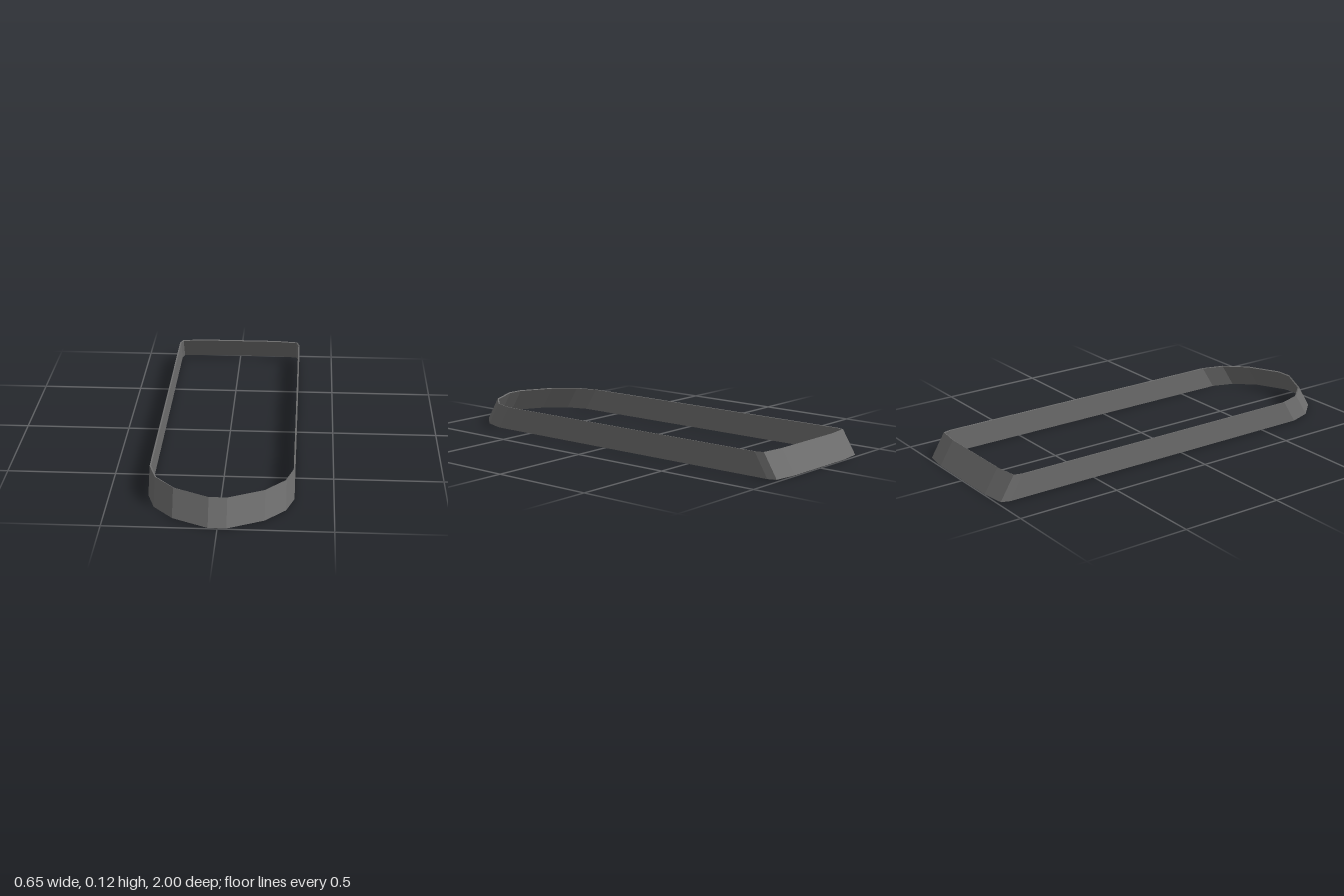
import * as THREE from 'three';

// Half outline of the band's outer foot, front to back: [x, z]
const HALF = [
  [0.04, 1], [0.2, 0.92], [0.29, 0.82], [0.325, 0.71],
  [0.325, -0.945], [0.312, -0.985], [0.2, -1],
];
const HEIGHT = 0.112, LEAN = 0.07, THICK = 0.007, FOOT = 0.002;

export function createModel() {
  const outline = [...HALF, ...HALF.map(([x, z]) => [-x, z]).reverse()];
  const n = outline.length;

  // Outward horizontal normal of the wall that starts at point i
  const wallNormal = (i) => {
    const a = outline[(i + n) % n], b = outline[(i + 1) % n];
    return new THREE.Vector2(a[1] - b[1], b[0] - a[0]).normalize();
  };

  // Cross-section at each point: outer foot, outer rim, inner rim, inner foot
  const sections = outline.map(([x, z], i) => {
    const h = wallNormal(i - 1).add(wallNormal(i)).normalize();
    const lean = -Math.sign(z) * LEAN;
    const normal = new THREE.Vector3(h.x, (Math.abs(h.y) * LEAN) / HEIGHT, h.y).normalize();
    const foot = new THREE.Vector3(x, FOOT + (normal.y * THICK) / 2, z);
    const rim = foot.clone().add(new THREE.Vector3(0, HEIGHT, lean));
    const inset = (p) => p.clone().addScaledVector(normal, -THICK);
    return [foot, rim, inset(rim), inset(foot)];
  });

  // Join neighbouring cross-sections into a closed loop of flat faces
  const positions = [];
  for (let i = 0; i < n; i++) {
    const s = sections[i], t = sections[(i + 1) % n];
    for (let k = 0; k < 4; k++) {
      const m = (k + 1) % 4;
      for (const p of [s[k], t[k], t[m], s[k], t[m], s[m]]) positions.push(p.x, p.y, p.z);
    }
  }
  const geometry = new THREE.BufferGeometry();
  geometry.setAttribute('position', new THREE.Float32BufferAttribute(positions, 3));
  geometry.computeVertexNormals();

  const band = new THREE.Mesh(
    geometry,
    new THREE.MeshStandardMaterial({ color: 0x6d6d6d, flatShading: true }),
  );
  band.name = 'rimBand';

  const group = new THREE.Group();
  group.name = 'thinBandFrame';
  group.add(band);
  return group;
}
